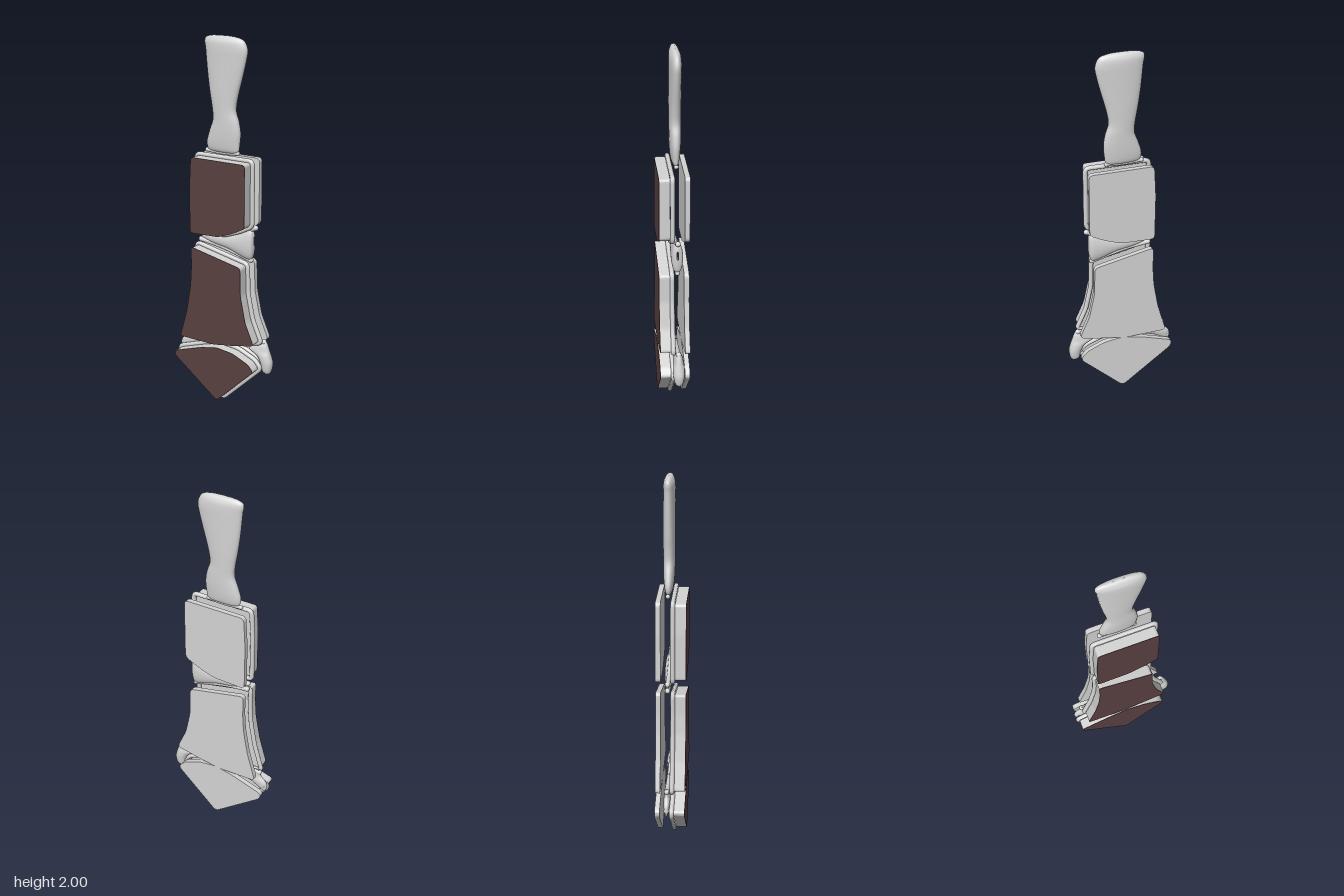
import * as THREE from 'three';

const silver = new THREE.MeshStandardMaterial({ color: 0xd4d4d4 });
silver.name = 'silver';
const brown = new THREE.MeshStandardMaterial({ color: 0x5a4141 });
brown.name = 'brownStone';

const MID_Z = -0.017; // middle plane of the bail and links

// Counter-clockwise outlines of the three stones
const STONES = {
  upper: [[0.172, 1.365], [-0.158, 1.365], [-0.167, 1.2], [-0.165, 0.95], [0.01, 0.955], [0.1, 0.988], [0.172, 1.025]],
  middle: [[0.147, 0.805], [-0.16, 0.872], [-0.158, 0.76], [-0.165, 0.65], [-0.19, 0.505], [-0.235, 0.345],
    [-0.02, 0.34], [0.11, 0.36], [0.232, 0.385], [0.18, 0.505], [0.15, 0.65]],
  lower: [[0, 0.325], [-0.1, 0.305], [-0.275, 0.248], [-0.27, 0.222], [0, 0.014], [0.23, 0.232], [0.2, 0.27], [0.1, 0.313]],
};

// Grow an outline outward by d
function grow(pts, d) {
  const n = pts.length;
  return pts.map((p, i) => {
    const c = new THREE.Vector2(...p);
    const a = c.clone().sub(new THREE.Vector2(...pts[(i + n - 1) % n])).normalize();
    const b = new THREE.Vector2(...pts[(i + 1) % n]).sub(c).normalize();
    const m = new THREE.Vector2(a.y + b.y, -a.x - b.x).normalize();
    const k = d / Math.max(0.6, m.x * a.y - m.y * a.x);
    return [c.x + m.x * k, c.y + m.y * k];
  });
}

// Outline with softly rounded corners
function roundedShape(pts, r = 0.018) {
  const v = pts.map((p) => new THREE.Vector2(...p));
  const n = v.length;
  const shape = new THREE.Shape();
  v.forEach((p, i) => {
    const toward = (q) => p.clone().lerp(q, Math.min(0.45, r / p.distanceTo(q)));
    const s = toward(v[(i + n - 1) % n]);
    const e = toward(v[(i + 1) % n]);
    if (i === 0) shape.moveTo(s.x, s.y);
    else shape.lineTo(s.x, s.y);
    shape.quadraticCurveTo(p.x, p.y, e.x, e.y);
  });
  shape.closePath();
  return shape;
}

function slab(name, shape, z0, z1, material) {
  const geo = new THREE.ExtrudeGeometry(shape, { depth: z1 - z0, bevelEnabled: false, curveSegments: 5 });
  geo.translate(0, 0, z0);
  const mesh = new THREE.Mesh(geo, material);
  mesh.name = name;
  return mesh;
}

// Stone with coloured face, wire bezel and back plate
function panel(name, pts) {
  const g = new THREE.Group();
  g.name = name + 'Panel';
  const stone = roundedShape(pts);
  g.add(slab(name + 'StoneBody', stone, 0.022, 0.077, silver));
  g.add(slab(name + 'StoneFace', stone, 0.077, 0.08, brown));
  g.add(slab(name + 'BackPlate', roundedShape(grow(pts, 0.01), 0.025), -0.08, -0.053, silver));
  const wire = roundedShape(grow(pts, 0.006), 0.022).getSpacedPoints(110).slice(0, -1)
    .map((p) => new THREE.Vector3(p.x, p.y, 0.01));
  const bezel = new THREE.Mesh(
    new THREE.TubeGeometry(new THREE.CatmullRomCurve3(wire, true), 160, 0.0125, 10, true), silver);
  bezel.name = name + 'Bezel';
  g.add(bezel);
  return g;
}

// Smooth body from sections [position, low, high, half depth], along y or x
function loft(name, sections, alongX = false, steps = 48, sides = 28) {
  const spline = (f) => new THREE.CatmullRomCurve3(
    sections.map((s) => new THREE.Vector3(...f(s))), false, 'catmullrom', 0.5);
  const outline = spline((s) => [s[0], s[1], s[2]]);
  const depth = spline((s) => [s[3], 0, 0]);
  const pos = [];
  const idx = [];
  for (let i = 0; i <= steps; i++) {
    const p = outline.getPoint(i / steps);
    const d = Math.max(0, depth.getPoint(i / steps).x);
    for (let j = 0; j < sides; j++) {
      const a = (j / sides) * Math.PI * 2;
      const w = (p.y + p.z) / 2 + Math.cos(a) * (p.z - p.y) / 2;
      const z = MID_Z + Math.sign(Math.sin(a)) * Math.pow(Math.abs(Math.sin(a)), 0.8) * d;
      if (alongX) pos.push(p.x, w, z);
      else pos.push(w, p.x, z);
      if (i < steps) {
        const k = i * sides + j;
        const l = i * sides + (j + 1) % sides;
        if (alongX) idx.push(k, l, k + sides, l, l + sides, k + sides);
        else idx.push(k, k + sides, l, l, k + sides, l + sides);
      }
    }
  }
  const geo = new THREE.BufferGeometry();
  geo.setAttribute('position', new THREE.Float32BufferAttribute(pos, 3));
  // Reverse the order when the loops come out facing inward
  let volume = 0;
  const at = (i) => new THREE.Vector3(pos[i * 3], pos[i * 3 + 1], pos[i * 3 + 2] - MID_Z);
  for (let i = 0; i < idx.length; i += 3) volume += at(idx[i]).dot(at(idx[i + 1]).cross(at(idx[i + 2])));
  if (volume < 0) idx.reverse();
  geo.setIndex(idx);
  geo.computeVertexNormals();
  const mesh = new THREE.Mesh(geo, silver);
  mesh.name = name;
  return mesh;
}

// Wire with ball ends
function wireArm(name, pts, r = 0.013) {
  const g = new THREE.Group();
  g.name = name;
  const v = pts.map(([x, y]) => new THREE.Vector3(x, y, MID_Z));
  g.add(new THREE.Mesh(new THREE.TubeGeometry(new THREE.CatmullRomCurve3(v), 30, r, 10), silver));
  for (const end of [v[0], v[v.length - 1]]) {
    const ball = new THREE.Mesh(new THREE.SphereGeometry(r * 1.1, 14, 10), silver);
    ball.position.copy(end);
    g.add(ball);
  }
  g.children.forEach((m, i) => { m.name = i ? 'wireEnd' : 'wire'; });
  return g;
}

export function createModel() {
  const model = new THREE.Group();
  model.name = 'pendant';
  for (const [name, pts] of Object.entries(STONES)) model.add(panel(name, pts));

  // Flared bail on top
  model.add(loft('bail', [
    [1.385, -0.06, 0.04, 0], [1.4, -0.105, 0.075, 0.018], [1.44, -0.115, 0.083, 0.026], [1.5, -0.098, 0.087, 0.03],
    [1.56, -0.077, 0.077, 0.031], [1.62, -0.08, 0.06, 0.031], [1.7, -0.094, 0.073, 0.032], [1.8, -0.108, 0.1, 0.032],
    [1.88, -0.116, 0.12, 0.032], [1.93, -0.121, 0.128, 0.032], [1.965, -0.127, 0.118, 0.029],
    [1.985, -0.12, 0.1, 0.021], [1.996, -0.09, 0.06, 0.012], [2.0, -0.04, 0.02, 0],
  ], false, 78));
  model.add(wireArm('bailFoot', [[-0.115, 1.393], [-0.02, 1.388], [0.072, 1.393]], 0.011));

  // Link between the upper and middle panels
  model.add(loft('upperLink', [
    [-0.15, 0.905, 0.925, 0.004], [-0.08, 0.885, 0.935, 0.018], [0.02, 0.868, 0.945, 0.026],
    [0.1, 0.84, 0.975, 0.031], [0.15, 0.828, 0.998, 0.03], [0.168, 0.85, 0.99, 0.022], [0.176, 0.91, 0.96, 0.004],
  ], true));
  model.add(wireArm('upperLinkTopWire', [[-0.163, 0.93], [0, 0.937], [0.1, 0.972], [0.184, 1.008]]));
  model.add(wireArm('upperLinkBottomWire', [[-0.157, 0.892], [-0.02, 0.872], [0.155, 0.826]]));

  // Links between the middle and lower panels
  model.add(loft('lowerLeftLink', [
    [0.195, 0.25, 0.27, 0.004], [0.215, 0.235, 0.286, 0.022], [0.26, 0.225, 0.293, 0.03], [0.3, 0.2, 0.284, 0.031],
    [0.33, 0.15, 0.275, 0.027], [0.36, 0.19, 0.265, 0.02], [0.385, 0.235, 0.255, 0.006],
  ]));
  model.add(loft('lowerRightLink', [
    [0.23, -0.285, -0.265, 0.006], [0.26, -0.292, -0.22, 0.014], [0.29, -0.284, -0.17, 0.018],
    [0.32, -0.257, -0.12, 0.016], [0.345, -0.25, -0.19, 0.012], [0.365, -0.245, -0.235, 0.003],
  ]));
  model.add(wireArm('lowerLeftTopWire', [[0.242, 0.378], [0.13, 0.35], [0.02, 0.334]]));
  model.add(wireArm('lowerLeftBottomWire', [[0.255, 0.222], [0.2, 0.28], [0.1, 0.32], [0.02, 0.332]]));
  model.add(wireArm('lowerRightTopWire', [[-0.243, 0.35], [-0.13, 0.338], [-0.02, 0.334]]));
  model.add(wireArm('lowerRightBottomWire', [[-0.278, 0.255], [-0.18, 0.29], [-0.02, 0.33]]));
  return model;
}
